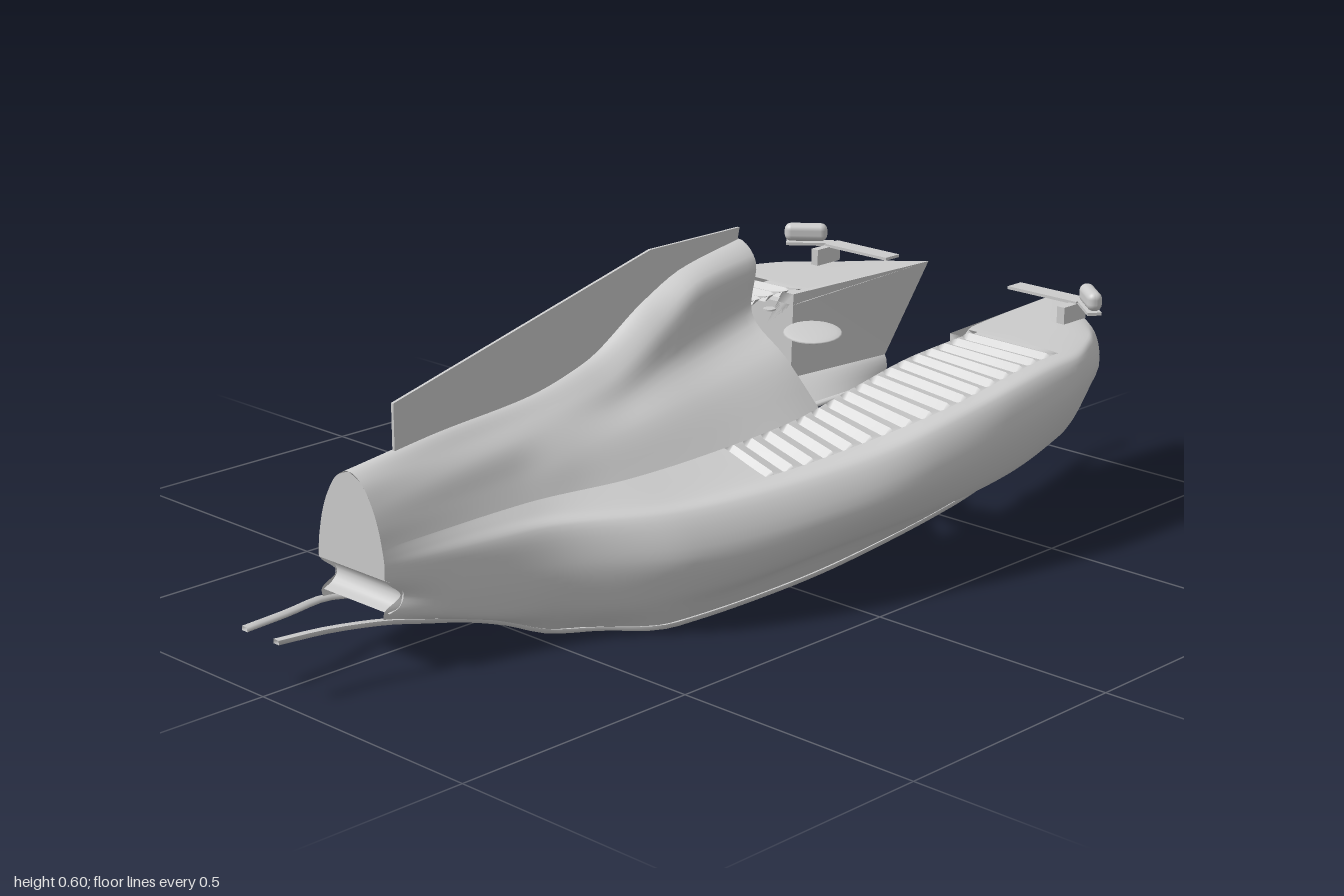
import * as THREE from 'three';
import { RoundedBoxGeometry } from 'three/addons/geometries/RoundedBoxGeometry.js';

const V = (x, y, z) => new THREE.Vector3(x, y, z);
const material = new THREE.MeshStandardMaterial({ color: 0xcccccc, side: THREE.DoubleSide });

// Feature lines running from tail to nose, as [x, y, z] on the left side
const spine = [[-0.8, 0.35, 0], [-0.6, 0.375, 0], [-0.4, 0.39, 0], [-0.25, 0.425, 0], [-0.1, 0.51, 0], [0, 0.553, 0], [0.155, 0.582, 0]];
const brow = [[-0.8, 0.335, 0.033], [-0.4, 0.37, 0.04], [-0.25, 0.395, 0.05], [-0.1, 0.475, 0.056], [0, 0.53, 0.057], [0.145, 0.55, 0.056]];
const waist = [[-0.8, 0.3, 0.058], [-0.4, 0.345, 0.075], [-0.25, 0.36, 0.082], [-0.1, 0.405, 0.078], [0.125, 0.455, 0.066]];
const flare = [[-0.8, 0.265, 0.073], [-0.5, 0.29, 0.095], [-0.4, 0.303, 0.115], [-0.1, 0.35, 0.145], [0.11, 0.393, 0.165]];
const deckInner = [[-0.8, 0.23, 0.082], [-0.5, 0.248, 0.118], [-0.3, 0.258, 0.175], [-0.1, 0.275, 0.21],
  [0.1, 0.305, 0.24], [0.2, 0.323, 0.24], [0.4, 0.352, 0.238], [0.54, 0.358, 0.235], [0.6, 0.36, 0.21], [0.93, 0.36, 0.175]];
const deckOuter = [[-0.8, 0.215, 0.085], [-0.5, 0.23, 0.143], [-0.3, 0.23, 0.25], [-0.1, 0.244, 0.312],
  [0.1, 0.276, 0.372], [0.32, 0.325, 0.432], [0.58, 0.357, 0.437], [0.7, 0.358, 0.4], [0.835, 0.355, 0.3]];
const crest = [[-0.8, 0.2, 0.087], [-0.6, 0.208, 0.138], [-0.5, 0.214, 0.17], [-0.3, 0.22, 0.292], [0, 0.248, 0.396],
  [0.2, 0.288, 0.45], [0.4, 0.33, 0.475], [0.58, 0.347, 0.472], [0.7, 0.348, 0.428], [0.778, 0.338, 0.38]];
const widest = [[-0.8, 0.175, 0.087], [-0.6, 0.16, 0.145], [-0.5, 0.15, 0.185], [-0.3, 0.15, 0.33], [0, 0.18, 0.435],
  [0.2, 0.218, 0.478], [0.4, 0.262, 0.497], [0.55, 0.285, 0.49], [0.7, 0.3, 0.442], [0.778, 0.3, 0.388]];
const flank = [[-0.8, 0.14, 0.085], [-0.5, 0.09, 0.18], [-0.3, 0.085, 0.315], [0, 0.118, 0.405],
  [0.4, 0.162, 0.457], [0.6, 0.19, 0.436], [0.815, 0.235, 0.305]];
const tuck = [[-0.8, 0.118, 0.083], [-0.5, 0.05, 0.165], [-0.3, 0.045, 0.29], [0, 0.07, 0.338],
  [0.4, 0.1, 0.365], [0.6, 0.125, 0.34], [0.83, 0.17, 0.205]];
const sill = [[-0.8, 0.1, 0.08], [-0.6, 0.055, 0.105], [-0.44, 0.003, 0.15], [-0.3, 0.005, 0.265], [0, 0.015, 0.295],
  [0.2, 0.032, 0.303], [0.5, 0.06, 0.29], [0.83, 0.115, 0.2]];

// Point on a feature line at x, by monotone cubic interpolation
function at(line, x) {
  const n = line.length;
  let k = 0;
  while (k < n - 2 && x > line[k + 1][0]) k++;
  const h = line[k + 1][0] - line[k][0], t = THREE.MathUtils.clamp((x - line[k][0]) / h, 0, 1);
  const value = c => {
    const d = i => (line[i + 1][c] - line[i][c]) / (line[i + 1][0] - line[i][0]);
    const m = i => {
      if (i === 0) return d(0);
      if (i === n - 1) return d(n - 2);
      const a = d(i - 1), b = d(i);
      return a * b > 0 ? 2 * a * b / (a + b) : 0;
    };
    const t2 = t * t, t3 = t2 * t;
    return (2 * t3 - 3 * t2 + 1) * line[k][c] + (t3 - 2 * t2 + t) * h * m(k)
      + (3 * t2 - 2 * t3) * line[k + 1][c] + (t3 - t2) * h * m(k + 1);
  };
  return V(x, value(1), value(2));
}

// Same, with the stretch from x0 to x1 rescaled so the line finishes at its own end
function station(line, x, x0, x1) {
  const end = line[line.length - 1][0];
  return at(line, x > x0 ? x0 + (x - x0) / (x1 - x0) * (end - x0) : x);
}

// Surface through rows of points; skip(i, j) leaves a cell open
function grid(name, rows, skip = () => false) {
  const w = rows[0].length, index = [];
  for (let i = 0; i < rows.length - 1; i++) for (let j = 0; j < w - 1; j++) {
    if (skip(i, j)) continue;
    const a = i * w + j, b = a + 1, c = a + w, d = c + 1;
    index.push(a, c, b, b, c, d);
  }
  const g = new THREE.BufferGeometry().setFromPoints(rows.flat());
  g.setIndex(index);
  g.computeVertexNormals();
  return mesh(name, g);
}

function mesh(name, geometry, x = 0, y = 0, z = 0) {
  const m = new THREE.Mesh(geometry, material);
  m.name = name;
  m.position.set(x, y, z);
  return m;
}

const smooth = (points, per) => new THREE.CatmullRomCurve3(points, false, 'centripetal').getPoints((points.length - 1) * per);
const flip = p => V(p.x, p.y, -p.z);

function engineCover() {
  const rows = [];
  for (let i = 0; i <= 46; i++) {
    const x = -0.8 + 0.02 * i;
    const half = [spine, brow, waist, flare].map(l => station(l, x, -0.1, 0.12));
    half.push(at(deckInner, x));
    rows.push(smooth([...half.slice(1).reverse().map(flip), ...half], 5));
  }
  return grid('engineCover', rows);
}

function sidePod() {
  const pod = new THREE.Group();
  const lines = [deckInner, deckOuter, crest, widest, flank, tuck, sill], per = 5;

  // Outer skin with an opening in the deck for the louvres and a notch at the tail
  const rows = [];
  for (let i = 0; i <= 86; i++) {
    const section = lines.map(l => station(l, -0.8 + 0.02 * i, 0.6, 0.92));
    section[4].x += 0.035 * Math.max(0, 1 - i / 6);
    rows.push(smooth(section, per));
  }
  pod.add(grid('sidePodSkin', rows, (i, j) => i >= 35 && i < 69 && j < per));

  // Louvre slats: a steep face to the rear, then a gentle fall to the front
  const slats = new THREE.Group();
  slats.name = 'louvres';
  for (let i = 0; i < 17; i++) {
    const x = -0.1 + 0.04 * i;
    const edge = (px, lift) => {
      const a = at(deckInner, px), b = at(deckOuter, px);
      return [0, 0.05, 0.5, 0.95, 1].map((t, k) => a.clone().lerp(b, t).add(V(0, k % 4 ? lift : 0, 0)));
    };
    const crown = edge(x + 0.016, 0.004);
    slats.add(grid('louvreRiser', [edge(x, -0.014), crown]));
    slats.add(grid('louvreSlat', [crown, edge(x + 0.04, -0.005)]));
  }
  pod.add(slats);

  // Inlet duct from the front lip back to a closed panel
  const lip = rows[86].slice(0, 5 * per + 1);
  const rear = smooth([V(0.54, 0.335, 0.205), V(0.54, 0.333, 0.33), V(0.54, 0.325, 0.38), V(0.54, 0.295, 0.38),
    V(0.54, 0.24, 0.295), V(0.54, 0.18, 0.21)], per);
  const corner = V(0.54, 0.358, 0.205), centre = V(0.54, 0.28, 0.28);
  const ring = [corner, V(0.54, 0.358, 0.235), ...rear, corner];
  pod.add(grid('inletDuct', [lip, rear]));
  pod.add(grid('inletInnerWall', [[lip[0], lip[5 * per]], [corner, rear[5 * per]]]));
  pod.add(grid('inletRearPanel', [ring, ring.map(() => centre)]));

  // Thin floor strip along the sill, running out past both ends
  const path = [V(-1, 0.11, 0.042), V(-0.9, 0.107, 0.055)];
  for (let x = -0.8; x < 0.8; x += 0.08) path.push(at(sill, x));
  path.push(V(0.83, 0.112, 0.198), V(0.92, 0.135, 0.172), V(1, 0.162, 0.16));
  const strip = new THREE.CatmullRomCurve3(path).getPoints(80);
  const w = 0.007, h = 0.004;
  pod.add(grid('floorStrip', strip.map(p => [[w, h], [-w, h], [-w, -h], [w, -h], [w, h]]
    .map(([dz, dy]) => V(p.x, Math.max(0, p.y + dy), p.z + dz)))));

  // Mirror on a slanted plate, with its arm and leg
  const mirror = mesh('mirror', new RoundedBoxGeometry(0.03, 0.038, 0.09, 3, 0.014), 0.763, 0.419, 0.373);
  const plate = mesh('mirrorPlate', new THREE.BoxGeometry(0.028, 0.006, 0.1), 0.768, 0.396, 0.366);
  mirror.rotation.y = plate.rotation.y = -0.7;
  pod.add(mirror, plate);
  pod.add(mesh('mirrorArm', new THREE.BoxGeometry(0.042, 0.006, 0.17), 0.795, 0.396, 0.245));
  pod.add(mesh('mirrorLeg', new THREE.BoxGeometry(0.07, 0.034, 0.018), 0.77, 0.378, 0.323));

  // Head pad and small disc beside the cockpit
  const pad = mesh('headPad', new THREE.SphereGeometry(0.056, 24, 10), 0.207, 0.416, 0.145);
  pad.scale.y = 0.1;
  pad.rotation.set(0.08, 0, 0.09);
  pod.add(pad);
  pod.add(mesh('smallDisc', new THREE.CylinderGeometry(0.012, 0.012, 0.003, 16), 0.155, 0.46, 0.083));
  return pod;
}

export function createModel() {
  const model = new THREE.Group();
  model.name = 'racingCarBodywork';
  model.add(engineCover());

  // Left and right side pods
  for (const side of [1, -1]) {
    const pod = sidePod();
    pod.name = side > 0 ? 'leftSidePod' : 'rightSidePod';
    pod.scale.z = side;
    model.add(pod);
  }

  // Spine fin, continuing down inside the air intake
  const fin = new THREE.Shape([[-0.7, 0.35], [-0.7, 0.448], [-0.08, 0.603], [0.157, 0.603], [0.125, 0.46], [0.1, 0.4], [-0.3, 0.36]]
    .map(p => new THREE.Vector2(...p)));
  model.add(mesh('spineFin', new THREE.ExtrudeGeometry(fin, { depth: 0.006, bevelEnabled: false }), 0, 0, -0.003));

  // Tail panel closing the rear, with a rolled lower edge
  const tail = smooth([spine, brow, waist, flare, deckInner, crest, widest].map(l => at(l, -0.8)), 4);
  model.add(grid('tailPanel', [tail, tail.map(flip)]));
  const roll = smooth([[-0.8, 0.175], [-0.775, 0.163], [-0.762, 0.143], [-0.772, 0.122], [-0.795, 0.115]]
    .map(([x, y]) => V(x, y, 0.09)), 3);
  model.add(grid('tailRoll', [roll, roll.map(flip)]));
  return model;
}
